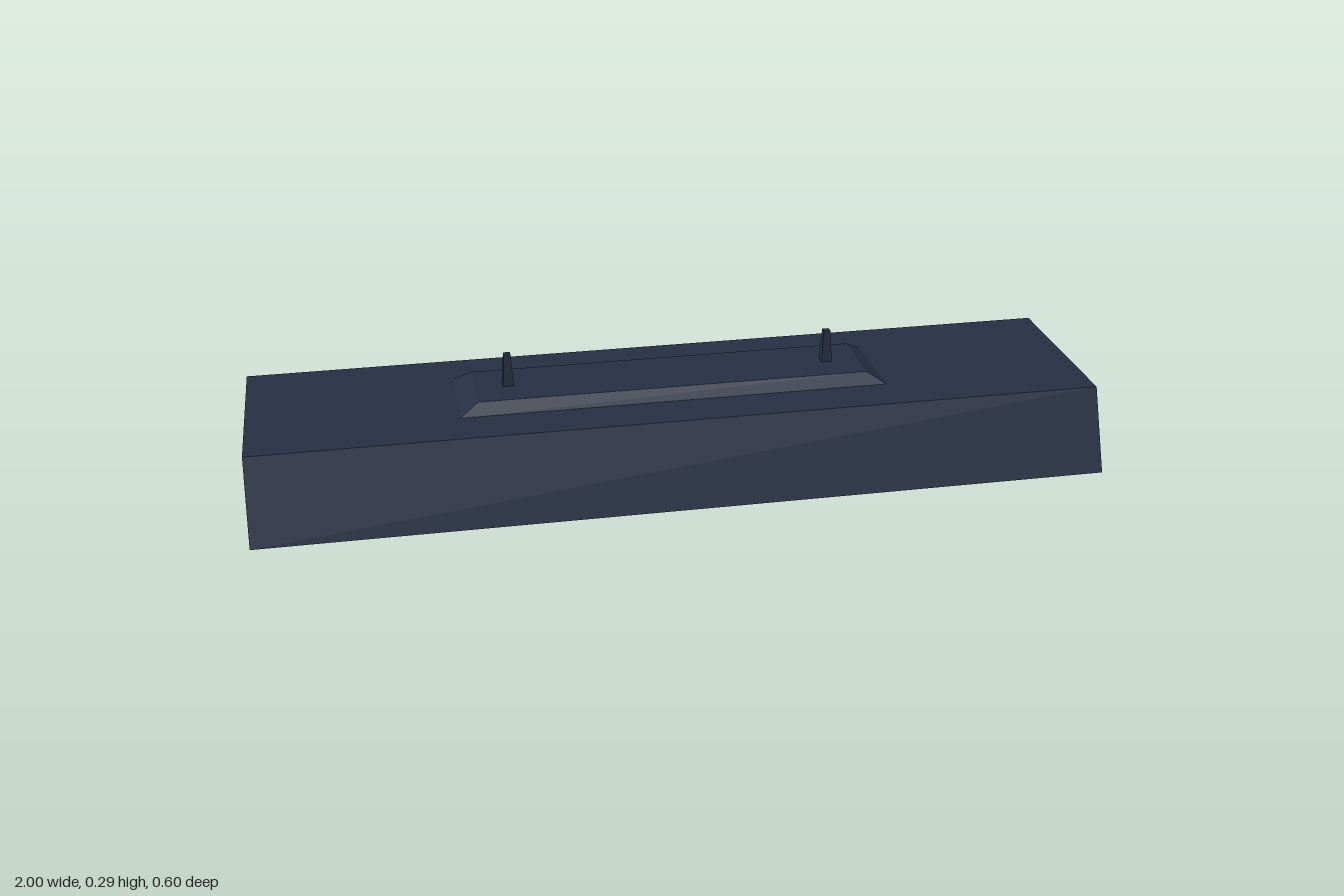
import * as THREE from 'three';
import { mergeVertices } from 'three/addons/utils/BufferGeometryUtils.js';

const dark = new THREE.MeshStandardMaterial({ color: 0x263044, flatShading: true });
const pale = new THREE.MeshStandardMaterial({ color: 0xb4bcd6 });

// Closed skin over rectangular rings [halfX, y, halfZ], starting at the top cap.
function loft(rings) {
  const signs = [[1, 1], [1, -1], [-1, -1], [-1, 1]];
  const loops = rings.map(([hx, y, hz]) => signs.map(([sx, sz]) => [sx * hx, y, sz * hz]));
  const pos = [];
  const quad = (a, b, c, d) => pos.push(...a, ...b, ...c, ...a, ...c, ...d);
  quad(...loops[0]);
  for (let k = 0; k + 1 < loops.length; k++) {
    const up = loops[k], low = loops[k + 1];
    for (let i = 0; i < 4; i++) {
      const j = (i + 1) % 4;
      quad(low[i], low[j], up[j], up[i]);
    }
  }
  quad(...[...loops[loops.length - 1]].reverse());
  const geo = new THREE.BufferGeometry();
  geo.setAttribute('position', new THREE.Float32BufferAttribute(pos, 3));
  geo.computeVertexNormals();
  return geo;
}

// Closed rod along x, shaded smoothly over its ends
function rod(radius, length) {
  const geo = new THREE.CylinderGeometry(radius, radius, length, 8).rotateZ(Math.PI / 2);
  geo.deleteAttribute('normal');
  geo.deleteAttribute('uv');
  const merged = mergeVertices(geo);
  merged.computeVertexNormals();
  return merged;
}

export function createModel() {
  const model = new THREE.Group();
  model.name = 'ceilingLamp';
  const add = (name, geo, mat, x = 0, y = 0, z = 0) => {
    const mesh = new THREE.Mesh(geo, mat);
    mesh.name = name;
    mesh.position.set(x, y, z);
    model.add(mesh);
  };

  // Housing: sloped outside, bottom rim, then the tapering hollow inside
  add('housing', loft([
    [1, 0.19, 0.222],
    [1, 0, 0.302],
    [0.96, 0, 0.267],
    [0.91, 0.158, 0.2],
  ]), dark);

  // Bevelled mounting plate
  add('mountingPlate', loft([[0.467, 0.216, 0.088], [0.512, 0.189, 0.113]]), dark);

  // Tapered square hanging pins
  const pin = loft([[0.008, 0.295, 0.008], [0.013, 0.214, 0.013]]);
  for (const side of [-1, 1]) {
    add(side > 0 ? 'leftPin' : 'rightPin', pin, dark, side * 0.388);
  }

  // Three light tubes along the length
  const tube = rod(0.024, 1.77);
  ['backTube', 'middleTube', 'frontTube'].forEach((name, i) => {
    add(name, tube, pale, 0, 0.045, (i - 1) * 0.14);
  });

  return model;
}
